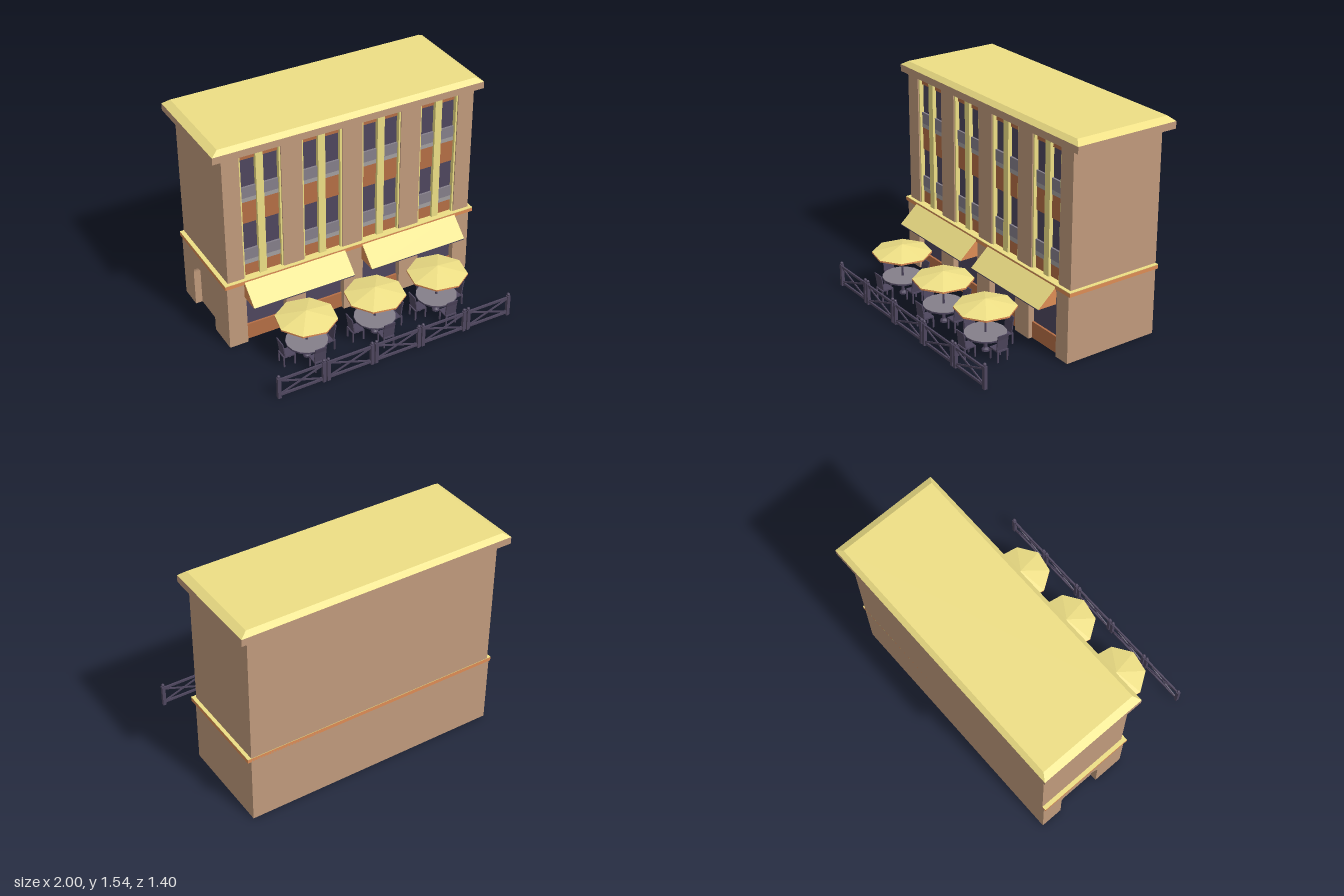
import * as THREE from 'three';

const mat = (color) => new THREE.MeshStandardMaterial({ color, flatShading: true, side: THREE.DoubleSide });
const TAN = mat(0xc09a7c), YELLOW = mat(0xeedf85), ORANGE = mat(0xdd8c55), BRICK = mat(0xb56e45),
  DARK = mat(0x4e465e), GREY = mat(0x857f8a), PALE = mat(0xa39f9f);

function add(parent, name, geometry, material, x = 0, y = 0, z = 0) {
  const m = new THREE.Mesh(geometry, material);
  m.name = name;
  m.position.set(x, y, z);
  parent.add(m);
  return m;
}

// Box given by its extents on each axis
function box(parent, name, material, x0, x1, y0, y1, z0, z1) {
  return add(parent, name, new THREE.BoxGeometry(x1 - x0, y1 - y0, z1 - z0), material,
    (x0 + x1) / 2, (y0 + y1) / 2, (z0 + z1) / 2);
}

function group(parent, name, x = 0, y = 0, z = 0) {
  const g = new THREE.Group();
  g.name = name;
  g.position.set(x, y, z);
  parent.add(g);
  return g;
}

const BACK = -0.645, RECESS = 0.02;

function addWalls(root) {
  const g = group(root, 'walls');
  box(g, 'upperWall', TAN, -0.935, 0.935, 0.49, 1.47, BACK, RECESS);
  box(g, 'groundWall', TAN, -0.9, 0.935, 0, 0.49, BACK, RECESS);

  // Piers between the window bays, mirrored; the ground floor stands slightly proud
  for (const [a, b] of [[0.814, 0.935], [0.369, 0.52], [-0.075, 0.075]]) {
    for (const s of a < 0 ? [1] : [1, -1]) {
      const x0 = Math.min(a * s, b * s), x1 = Math.max(a * s, b * s);
      box(g, 'upperPier', TAN, x0, x1, 0.5, 1.47, RECESS, 0.065);
      box(g, 'groundPier', TAN, x0, x1, 0, 0.5, RECESS, 0.08);
    }
  }

  // Side wall layer with an arched doorway
  const side = new THREE.Shape();
  side.moveTo(BACK, 0);
  side.lineTo(-0.48, 0);
  side.lineTo(-0.48, 0.27);
  side.absellipse(-0.315, 0.27, 0.165, 0.1, Math.PI, 0, true);
  side.lineTo(-0.15, 0);
  side.lineTo(0.08, 0);
  side.lineTo(0.08, 0.49);
  side.lineTo(BACK, 0.49);
  const sideGeo = new THREE.ExtrudeGeometry(side, { depth: 0.05, bevelEnabled: false, curveSegments: 12 });
  sideGeo.rotateY(-Math.PI / 2);
  add(g, 'archedSideWall', sideGeo, TAN, -0.9, 0, 0);
}

function addBay(root, cx) {
  const g = group(root, 'windowBay', cx);
  const w = 0.147;
  // Yellow trims and centre mullion
  for (const s of [-1, 1]) box(g, 'bayTrim', YELLOW, s * (w - 0.006) - 0.006, s * (w - 0.006) + 0.006, 0.52, 1.465, RECESS, 0.057);
  box(g, 'mullion', YELLOW, -0.026, 0.026, 0.52, 1.465, RECESS, 0.055);

  // Two columns of stacked panels: brick, sill, balustrade, glass
  const rows = [
    ['spandrel', BRICK, 0.52, 0.61, 0.035], ['sill', PALE, 0.61, 0.645, 0.038],
    ['balustrade', GREY, 0.645, 0.725, 0.04], ['window', DARK, 0.725, 0.93, 0.026],
    ['spandrel', BRICK, 0.93, 1.093, 0.035], ['sill', PALE, 1.093, 1.125, 0.038],
    ['balustrade', GREY, 1.125, 1.205, 0.04], ['window', DARK, 1.205, 1.41, 0.026],
    ['spandrel', BRICK, 1.41, 1.465, 0.035],
  ];
  for (const s of [-1, 1]) {
    const x0 = s < 0 ? -0.135 : 0.026, x1 = s < 0 ? -0.026 : 0.135;
    for (const [name, m, y0, y1, z] of rows) box(g, name, m, x0, x1, y0, y1, RECESS - 0.01, z);
  }

  // Shop window with a brick base
  box(g, 'shopWindow', DARK, -w, w, 0.12, 0.49, RECESS - 0.01, 0.035);
  box(g, 'shopBase', BRICK, -w, w, 0, 0.12, RECESS - 0.01, 0.05);
}

function addRoof(root) {
  const g = group(root, 'roof');
  box(g, 'cornice', TAN, -1, 1, 1.465, 1.515, -0.7, 0.085);
  // Slab whose upper corners are drawn inward
  const geo = new THREE.BoxGeometry(2, 0.03, 0.785);
  const p = geo.attributes.position;
  for (let i = 0; i < p.count; i++) {
    if (p.getY(i) > 0) p.setXYZ(i, Math.sign(p.getX(i)) * 0.95, 0.015, Math.sign(p.getZ(i)) * 0.36);
  }
  geo.computeVertexNormals();
  add(g, 'roofSlab', geo, YELLOW, 0, 1.53, -0.3075);
}

function addBand(root) {
  const g = group(root, 'stringCourse');
  box(g, 'band', ORANGE, -0.965, 0.96, 0.49, 0.517, BACK, 0.09);
  box(g, 'bandTop', YELLOW, -0.965, 0.96, 0.517, 0.521, BACK, 0.09);
}

function addAwning(root, x0, x1) {
  const g = group(root, 'awning');
  const tri = new THREE.Shape([new THREE.Vector2(-0.08, 0.38), new THREE.Vector2(-0.22, 0.38), new THREE.Vector2(-0.08, 0.505)]);
  const body = new THREE.ExtrudeGeometry(tri, { depth: x1 - x0, bevelEnabled: false });
  body.rotateY(Math.PI / 2);
  add(g, 'awningFrame', body, ORANGE, x0, 0, 0);
  const cover = box(g, 'awningCover', YELLOW, x0, x1, -0.003, 0.003, -0.094, 0.094);
  cover.position.set((x0 + x1) / 2, 0.445, 0.154);
  cover.rotation.x = Math.atan2(0.125, 0.14);
  box(g, 'awningBar', DARK, x0, x1, 0.376, 0.382, 0.215, 0.225);
}

function addChair(parent, angle) {
  const g = group(parent, 'chair');
  g.rotation.y = angle;
  box(g, 'seat', DARK, -0.042, 0.042, 0.078, 0.088, 0.105, 0.195);
  for (const x of [-0.037, 0.037]) for (const z of [0.11, 0.19]) {
    box(g, 'chairLeg', DARK, x - 0.005, x + 0.005, 0.004, 0.08, z - 0.005, z + 0.005);
  }
  // Curved back panel, traced in side view and extruded across the seat
  const pts = [[0.186, 0.085], [0.191, 0.125], [0.196, 0.165], [0.204, 0.2]];
  const outline = [...pts.map(([z, y]) => new THREE.Vector2(-z, y)),
    ...pts.slice().reverse().map(([z, y]) => new THREE.Vector2(-z + 0.008, y))];
  const back = new THREE.ExtrudeGeometry(new THREE.Shape(outline), { depth: 0.084, bevelEnabled: false });
  back.rotateY(Math.PI / 2);
  add(g, 'chairBack', back, DARK, -0.042, 0, 0);
}

function addTableSet(root, x) {
  const g = group(root, 'tableSet', x, 0, 0.4);
  const foot = [[0, 0], [0.028, 0], [0.026, 0.012], [0.012, 0.024], [0.011, 0.12], [0.02, 0.13]];
  add(g, 'pedestal', new THREE.LatheGeometry(foot.map((p) => new THREE.Vector2(...p)), 10), DARK);
  add(g, 'tableTop', new THREE.CylinderGeometry(0.145, 0.145, 0.01, 16), DARK, 0, 0.131, 0);
  add(g, 'tableSurface', new THREE.CylinderGeometry(0.143, 0.143, 0.002, 16), GREY, 0, 0.137, 0);
  add(g, 'pole', new THREE.CylinderGeometry(0.008, 0.008, 0.24, 8), DARK, 0, 0.25, 0);

  // Eight-sided parasol
  const parasol = group(g, 'parasol');
  parasol.rotation.y = 0.2;
  add(parasol, 'canopy', new THREE.ConeGeometry(0.21, 0.054, 8, 1, true), YELLOW, 0, 0.352, 0);
  add(parasol, 'canopyRim', new THREE.CylinderGeometry(0.21, 0.21, 0.012, 8, 1, true), ORANGE, 0, 0.319, 0);
  add(parasol, 'canopyLining', new THREE.ConeGeometry(0.207, 0.05, 8, 1, true), ORANGE, 0, 0.347, 0);

  for (let i = 0; i < 4; i++) addChair(g, i * Math.PI / 2);
}

function addFence(root, x0, x1) {
  const g = group(root, 'fencePanel', 0, 0, 0.688);
  const cx = (x0 + x1) / 2, len = x1 - x0;
  for (const x of [x0, x1]) {
    box(g, 'fencePost', DARK, x - 0.012, x + 0.012, 0, 0.163, -0.012, 0.012);
    add(g, 'postCap', new THREE.SphereGeometry(0.012, 8, 6), DARK, x, 0.174, 0);
  }
  for (const y of [0.022, 0.146]) box(g, 'rail', DARK, x0, x1, y - 0.008, y + 0.008, -0.006, 0.006);
  // Crossed braces
  for (const s of [-1, 1]) {
    const brace = add(g, 'brace', new THREE.BoxGeometry(Math.hypot(len, 0.115), 0.011, 0.008), DARK, cx, 0.084, 0);
    brace.rotation.z = s * Math.atan2(0.115, len);
  }
}

export function createModel() {
  const root = new THREE.Group();
  root.name = 'cafeBuilding';
  addWalls(root);
  for (const x of [-0.667, -0.222, 0.222, 0.667]) addBay(root, x);
  addRoof(root);
  addBand(root);
  addAwning(root, -0.825, -0.07);
  addAwning(root, 0.065, 0.81);
  for (const x of [-0.535, -0.013, 0.48]) addTableSet(root, x);
  for (let i = 0; i < 5; i++) addFence(root, -0.89 + i * 0.361, -0.562 + i * 0.361);
  return root;
}
